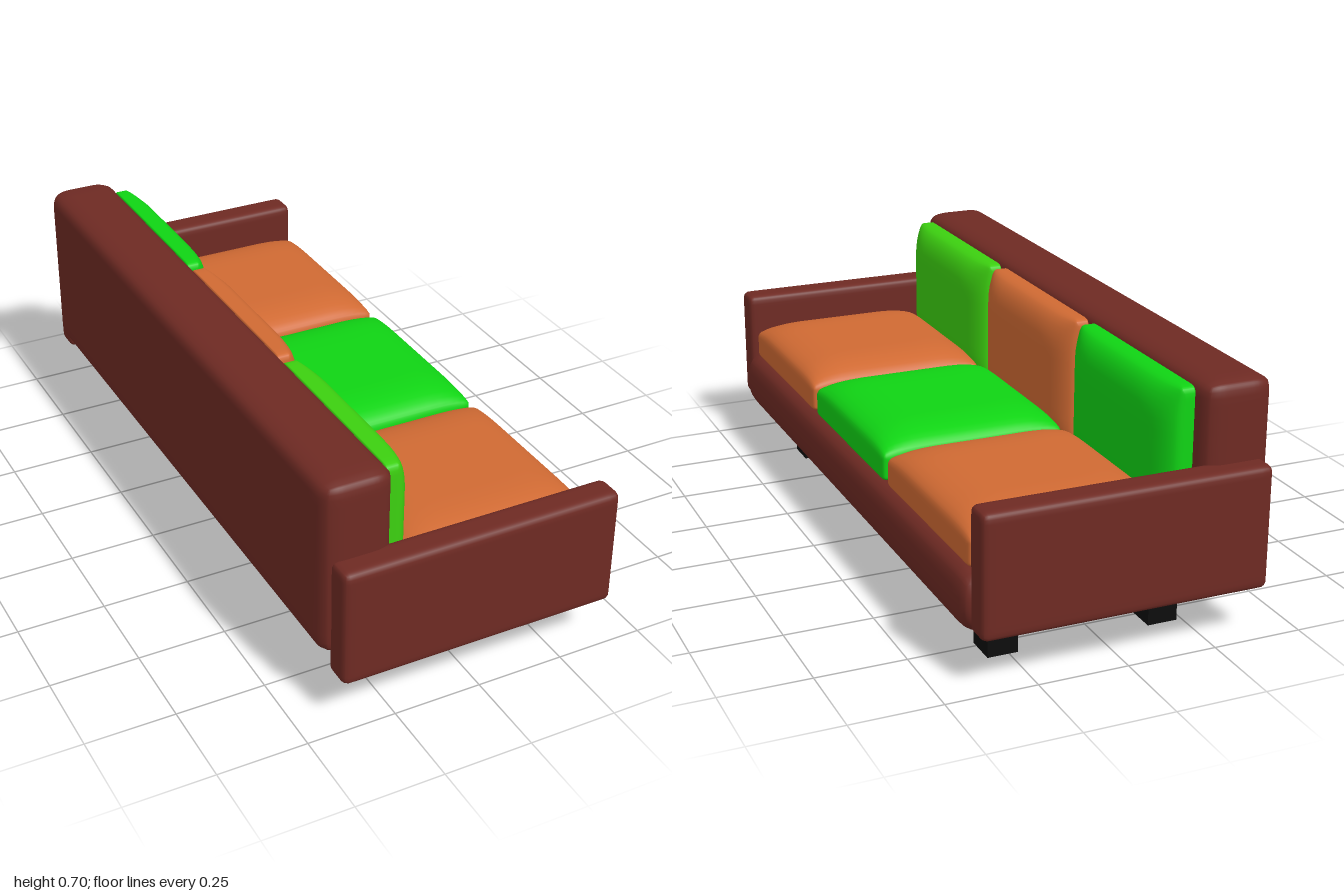
import * as THREE from 'three';
import { mergeVertices } from 'three/addons/utils/BufferGeometryUtils.js';

const material = (color) => new THREE.MeshStandardMaterial({ color });
const BROWN = material(0x6e2a23);
const ORANGE = material(0xd06a33);
const GREEN = material(0x10d414);
const LIME = material(0x3cd010);
const BLACK = material(0x0c0c0c);

// Box centred on the origin with elliptical rounded edges; size and radii are [x, y, z].
// dome > 0 thins the upper side towards its rim, like a stuffed cushion.
function softBox(size, radii, dome = 0, n = 20) {
  const geo = new THREE.BoxGeometry(2, 2, 2, n, n, n);
  geo.deleteAttribute('normal');
  geo.deleteAttribute('uv');
  const pos = geo.attributes.position;
  const half = size.map((s) => s / 2);
  const rim = (u) => Math.sqrt(1 - Math.min(1, Math.max(0, (Math.abs(u) - 0.5) / 0.5)) ** 2);
  for (let i = 0; i < pos.count; i++) {
    const inner = [], q = [];
    pos.toArray = undefined;
    [pos.getX(i), pos.getY(i), pos.getZ(i)].forEach((u, k) => {
      // crowd the grid lines near the edges
      const p = Math.sign(u) * (1 - (1 - Math.abs(u)) ** 2) * half[k];
      const limit = half[k] - radii[k];
      inner[k] = Math.max(-limit, Math.min(limit, p));
      q[k] = (p - inner[k]) / radii[k];
    });
    const len = Math.hypot(...q) || 1;
    const v = inner.map((c, k) => c + (q[k] / len) * radii[k]);
    if (dome) {
      const f = 1 - dome * (1 - rim(v[0] / half[0]) * rim(v[2] / half[2]));
      v[1] = -half[1] + (v[1] + half[1]) * f;
    }
    pos.setXYZ(i, ...v);
  }
  const merged = mergeVertices(geo, 1e-5);
  merged.computeVertexNormals();
  return merged;
}

export function createModel() {
  const sofa = new THREE.Group();
  sofa.name = 'sofa';

  const add = (name, geometry, mat, x, y, z) => {
    const mesh = new THREE.Mesh(geometry, mat);
    mesh.name = name;
    mesh.position.set(x, y, z);
    sofa.add(mesh);
    return mesh;
  };

  // Frame
  add('base', softBox([0.8, 0.165, 1.87], [0.04, 0.08, 0.06]), BROWN, 0.022, 0.2075, 0);
  add('backrest', softBox([0.2, 0.51, 1.88], [0.06, 0.035, 0.04]), BROWN, -0.325, 0.443, -0.004);
  const arm = softBox([0.8, 0.342, 0.09], [0.02, 0.02, 0.025]);
  add('leftArm', arm, BROWN, 0, 0.309, 0.955);
  add('rightArm', arm, BROWN, 0, 0.309, -0.955);

  // Three seat cushions and three back cushions
  const seat = softBox([0.54, 0.128, 0.576], [0.02, 0.02, 0.02], 0.4);
  const back = softBox([0.39, 0.092, 0.576], [0.02, 0.012, 0.02], 0.6);
  back.rotateZ(-Math.PI / 2);
  [
    [0.598, ORANGE, LIME],
    [0, GREEN, ORANGE],
    [-0.598, ORANGE, GREEN],
  ].forEach(([z, seatMat, backMat]) => {
    add('seatCushion', seat, seatMat, 0.118, 0.352, z);
    add('backCushion', back, backMat, -0.184, 0.483, z);
  });

  // Legs
  const leg = new THREE.BoxGeometry(0.085, 0.135, 0.092);
  for (const x of [-0.192, 0.268])
    for (const z of [0.697, -0.777]) add('leg', leg, BLACK, x, 0.0675, z);

  return sofa;
}
